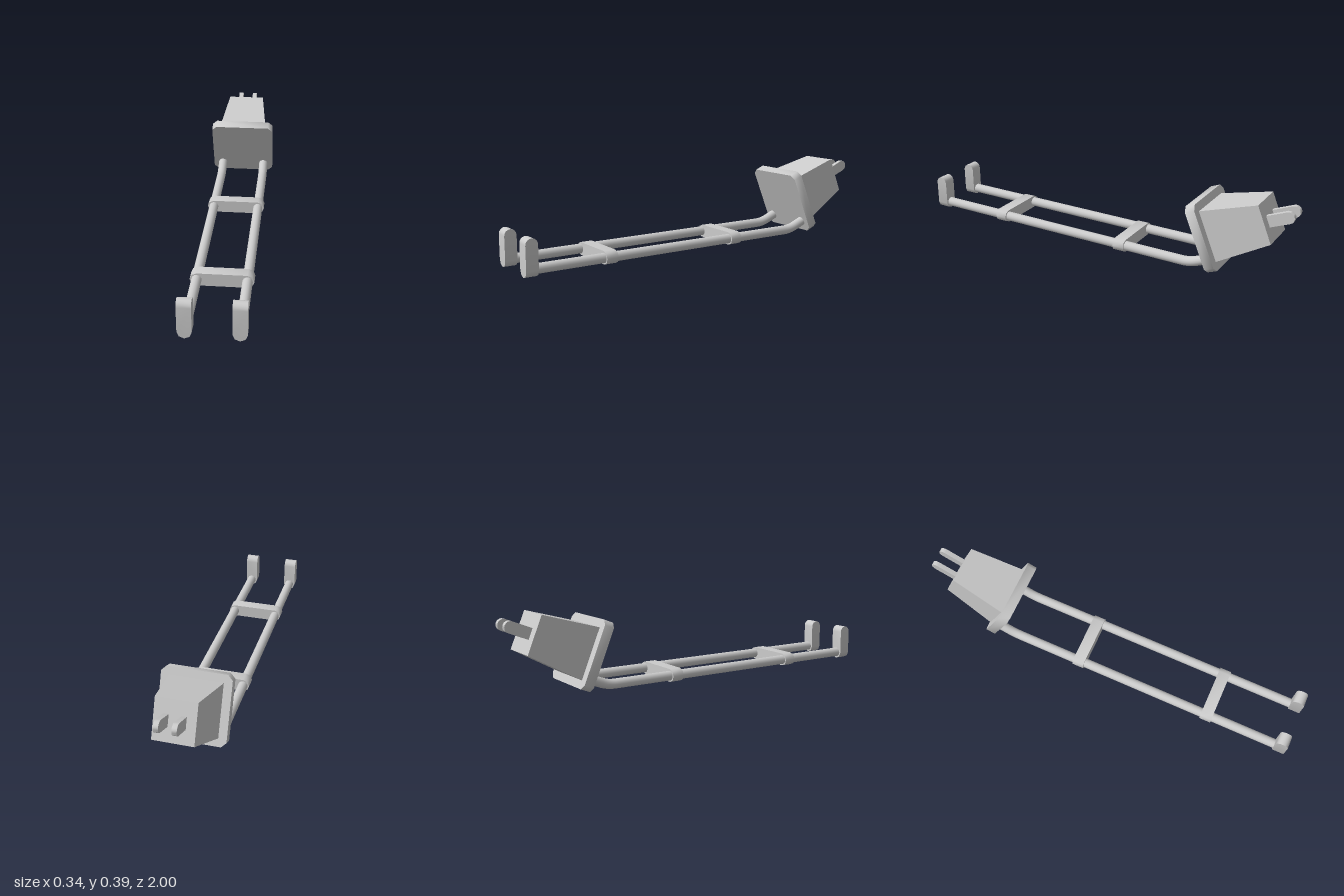
import * as THREE from 'three';
import { toCreasedNormals } from 'three/addons/utils/BufferGeometryUtils.js';

const ROD_X = 0.117, ROD_Y = 0.034, R = 0.032;
const grey = new THREE.MeshStandardMaterial({ color: 0xcccccc });

function add(parent, name, geometry, x = 0, y = 0, z = 0) {
  const mesh = new THREE.Mesh(geometry, grey);
  mesh.name = name;
  mesh.position.set(x, y, z);
  parent.add(mesh);
  return mesh;
}

// Extrusion centred on z with softly shaded rounded corners
function slab(shape, depth, curveSegments = 2, steps = 1) {
  const g = new THREE.ExtrudeGeometry(shape, { depth, steps, curveSegments, bevelEnabled: false });
  return g.translate(0, 0, -depth / 2);
}
const crease = (g) => toCreasedNormals(g, 0.9);

// Upright hook: round bottom across x, top domed across z
function hookGeometry() {
  const half = 0.03, top = 0.18;
  const s = new THREE.Shape();
  s.moveTo(R, top);
  s.lineTo(-R, top);
  s.absarc(0, R, R, Math.PI, Math.PI * 2, false);
  s.lineTo(R, top);
  const g = slab(s, half * 2, 2, 8);
  const p = g.attributes.position;
  for (let i = 0; i < p.count; i++) {
    const a = (p.getZ(i) / half) * Math.PI / 2;
    p.setZ(i, half * Math.sin(a));
    if (p.getY(i) > top - 0.001) p.setY(i, top - half + half * Math.cos(a));
  }
  return crease(g);
}

// Crossbar: stadium section wrapping both rods
function crossbarGeometry() {
  const s = new THREE.Shape();
  s.absarc(ROD_X, 0, R, -Math.PI / 2, Math.PI / 2, false);
  s.absarc(-ROD_X, 0, R, Math.PI / 2, Math.PI * 1.5, false);
  return crease(slab(s, 0.06));
}

// Rod: straight run, bending up into the plate
function rodGeometry() {
  const v = (y, z) => new THREE.Vector3(0, y, z);
  const path = new THREE.CurvePath();
  path.add(new THREE.LineCurve3(v(ROD_Y, 0.97), v(ROD_Y, -0.49)));
  path.add(new THREE.QuadraticBezierCurve3(v(ROD_Y, -0.49), v(ROD_Y, -0.53), v(0.05, -0.568)));
  path.add(new THREE.LineCurve3(v(0.05, -0.568), v(0.08, -0.642)));
  return new THREE.TubeGeometry(path, 120, 0.024, 16, false);
}

// Square plate with cut corners
function plateGeometry() {
  const h = 0.168, c = 0.144;
  const pts = [[h, -c], [h, c], [c, h], [-c, h], [-h, c], [-h, -c], [-c, -h], [c, -h]];
  return crease(slab(new THREE.Shape(pts.map(([x, y]) => new THREE.Vector2(x, y))), 0.05));
}

// Tapered square housing, narrowing towards -z
function housingGeometry() {
  const g = new THREE.CylinderGeometry(0.096 * Math.SQRT2, 0.128 * Math.SQRT2, 0.28, 4);
  return toCreasedNormals(g.rotateY(Math.PI / 4).rotateX(-Math.PI / 2), 0.3);
}

// Flat prong with a round tip, pointing towards -z
function prongGeometry() {
  const r = 0.028;
  const s = new THREE.Shape();
  s.moveTo(-0.01, -r);
  s.lineTo(0.102, -r);
  s.absarc(0.102, 0, r, -Math.PI / 2, Math.PI / 2, false);
  s.lineTo(-0.01, r);
  return crease(slab(s, 0.023, 4)).rotateY(Math.PI / 2);
}

export function createModel() {
  const model = new THREE.Group();
  model.name = 'prongedRack';

  // Rods and front hooks
  for (const side of [1, -1]) {
    const label = side > 0 ? 'left' : 'right';
    add(model, label + 'Rod', rodGeometry(), side * ROD_X);
    add(model, label + 'Hook', hookGeometry(), side * ROD_X, 0, 0.97);
  }

  // Crossbars
  add(model, 'frontCrossbar', crossbarGeometry(), 0, ROD_Y, 0.57);
  add(model, 'rearCrossbar', crossbarGeometry(), 0, ROD_Y, -0.15);

  // Tilted head at the back
  const head = new THREE.Group();
  head.name = 'head';
  head.position.set(0, 0.173, -0.572);
  head.rotation.x = 0.388;
  add(head, 'plate', plateGeometry(), 0, 0, -0.025);
  add(head, 'housing', housingGeometry(), 0, 0, -0.19);
  for (const side of [1, -1]) {
    add(head, side > 0 ? 'leftProng' : 'rightProng', prongGeometry(), side * 0.04, 0, -0.33);
  }
  model.add(head);
  return model;
}
